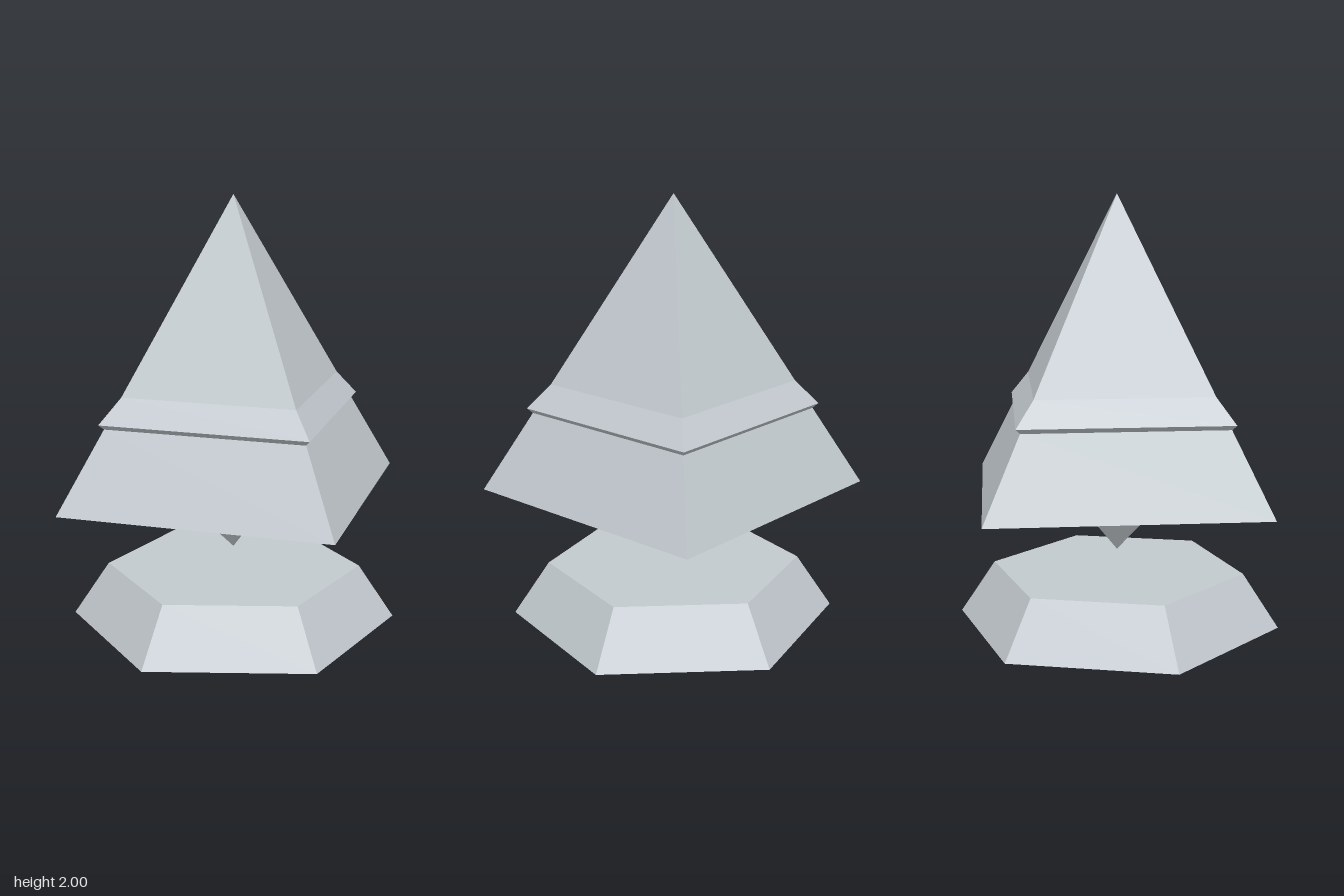
import * as THREE from 'three';

// Faceted solid: a closed profile of [radius, y], bottom to top, turned with few sides
function faceted(name, profile, sides, material) {
  const points = profile.map(([r, y]) => new THREE.Vector2(r, y));
  const geometry = new THREE.LatheGeometry(points, sides).toNonIndexed();
  geometry.computeVertexNormals();
  const mesh = new THREE.Mesh(geometry, material);
  mesh.name = name;
  return mesh;
}

export function createModel() {
  const group = new THREE.Group();
  group.name = 'floatingCrystal';
  const paleGrey = new THREE.MeshStandardMaterial({ color: 0xc3cacf, flatShading: true });
  paleGrey.name = 'paleGrey';

  // Six-sided pedestal, corners towards front and back
  group.add(faceted('pedestal', [[0, 0], [0.762, 0], [0.595, 0.253], [0, 0.253]], 6, paleGrey));

  // Small inverted pyramid hanging under the body
  group.add(faceted('lowerPoint', [[0, 0.345], [0.285, 0.63]], 4, paleGrey));

  // Sloping skirt of the hovering pyramid
  group.add(faceted('skirt', [[0, 0.63], [0.887, 0.63], [0.648, 0.998]], 4, paleGrey));

  // Projecting collar with an undercut lip
  group.add(faceted('collar', [[0.648, 0.998], [0.675, 1.02], [0.562, 1.133]], 4, paleGrey));

  // Tall pointed cap
  group.add(faceted('cap', [[0.562, 1.133], [0, 2]], 4, paleGrey));

  return group;
}
